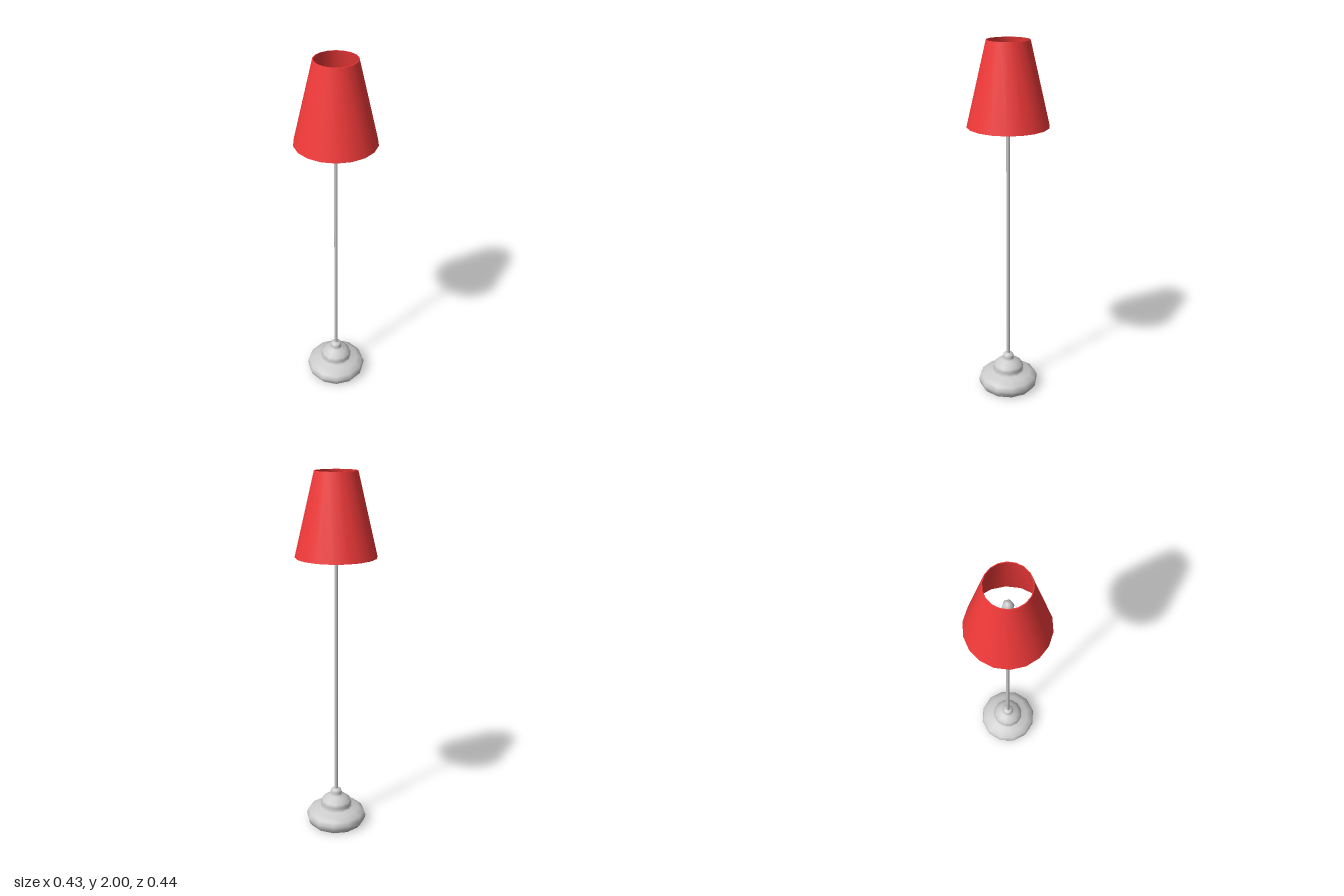
import * as THREE from 'three';
import { toCreasedNormals } from 'three/addons/utils/BufferGeometryUtils.js';

const grey = new THREE.MeshStandardMaterial({ color: 0xcccccc });
const red = new THREE.MeshStandardMaterial({ color: 0xf43a3a });

const toPoints = (profile) => profile.map(([r, y]) => new THREE.Vector2(r, y));

function addMesh(parent, name, geometry, material) {
  const mesh = new THREE.Mesh(geometry, material);
  mesh.name = name;
  parent.add(mesh);
  return mesh;
}

export function createModel() {
  const lamp = new THREE.Group();
  lamp.name = 'floorLamp';

  // Turned foot: wide disc, smaller dome and a knob around the pole
  const foot = new THREE.Group();
  foot.name = 'foot';
  lamp.add(foot);
  const footProfile = [
    [0.152, 0], [0.168, 0.022], [0.172, 0.045], [0.162, 0.07], [0.13, 0.088],
    [0.094, 0.097], [0.083, 0.106], [0.09, 0.122], [0.083, 0.14], [0.06, 0.16],
    [0.037, 0.17], [0.03, 0.178], [0.033, 0.19], [0.028, 0.203], [0.01, 0.21],
  ];
  addMesh(foot, 'turnedBase', new THREE.LatheGeometry(toPoints(footProfile), 12), grey);
  addMesh(foot, 'underside', new THREE.CircleGeometry(0.152, 12).rotateX(Math.PI / 2), grey);

  // Slim six-sided pole
  const pole = addMesh(lamp, 'pole', new THREE.CylinderGeometry(0.0106, 0.0106, 1.56, 6), grey);
  pole.position.y = 0.2 + 0.78;

  // Bulb hidden inside the shade
  const bulbProfile = [
    [0.0106, 1.73], [0.022, 1.75], [0.03, 1.785], [0.024, 1.815], [0.012, 1.828], [0, 1.832],
  ];
  addMesh(lamp, 'bulb', new THREE.LatheGeometry(toPoints(bulbProfile), 6), grey);

  // Thin-walled conical shade, open at both ends
  const shadeProfile = [[0.218, 1.56], [0.113, 2], [0.109, 2], [0.213, 1.56], [0.218, 1.56]];
  const shade = new THREE.LatheGeometry(toPoints(shadeProfile), 18);
  addMesh(lamp, 'shade', toCreasedNormals(shade, 0.6), red);

  return lamp;
}
